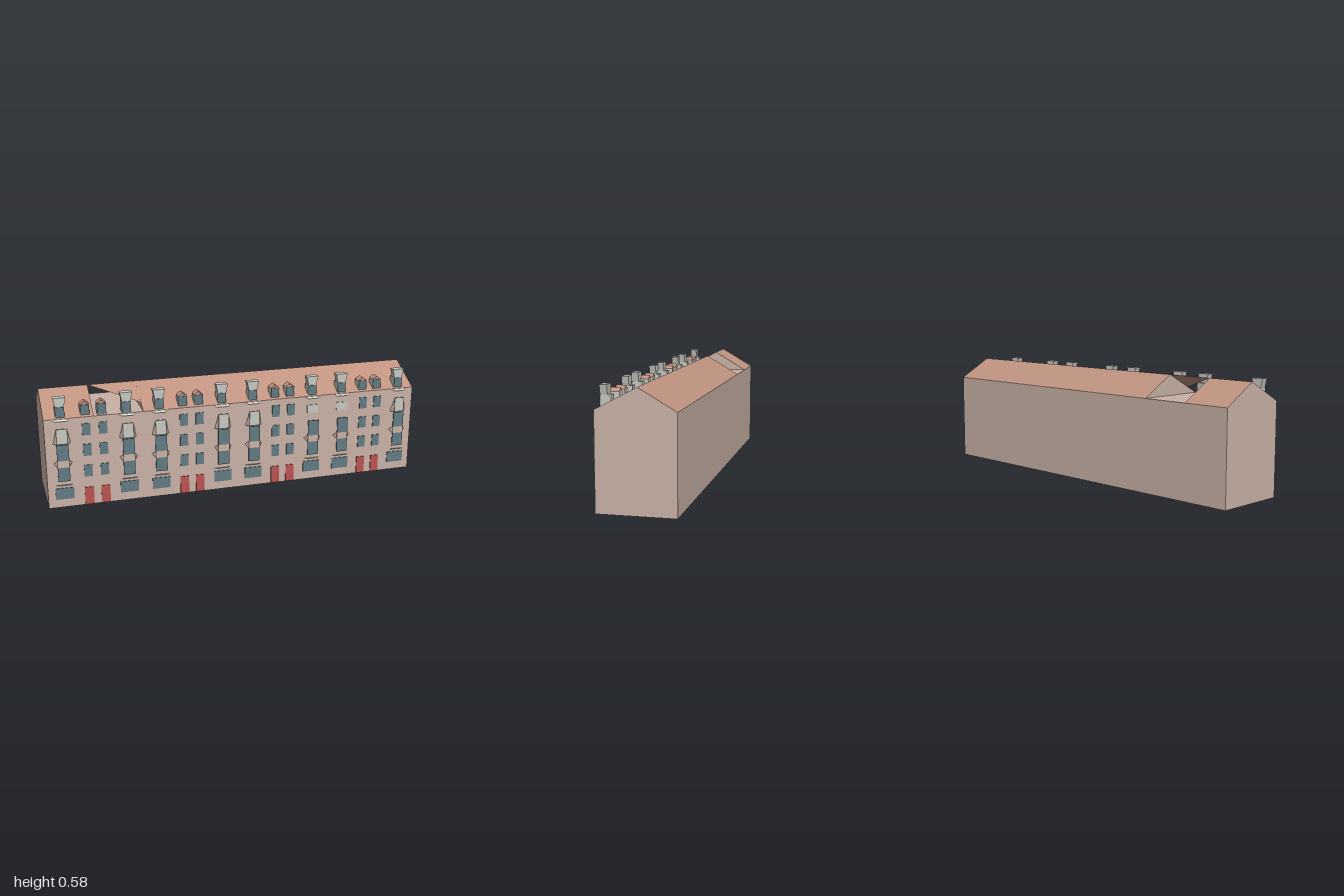
import * as THREE from 'three';

const mat = (name, color) => Object.assign(new THREE.MeshStandardMaterial({ color, side: THREE.DoubleSide }), { name });

export function createModel() {
  const root = new THREE.Group();
  root.name = 'terraceRow';
  const wall = mat('stone wall', 0xc9b2a6);
  const roof = mat('clay roof', 0xbf927f);
  const glass = mat('window glass', 0x627a82);
  const red = mat('red door', 0xbb5252);
  const trim = mat('pale trim', 0xc6c8c0);

  const FRONT = 0.18, BACK = -0.2, EAVE = 0.472, RIDGE = 0.577, RZ = -0.02;
  const BAY = 0.2; // front plane of the bays

  function add(parent, name, geo, material) {
    const m = new THREE.Mesh(geo, material);
    m.name = name;
    parent.add(m);
    return m;
  }
  // Box from its limits
  function box(parent, name, material, x0, x1, y0, y1, z0, z1) {
    const g = new THREE.BoxGeometry(x1 - x0, y1 - y0, z1 - z0);
    g.translate((x0 + x1) / 2, (y0 + y1) / 2, (z0 + z1) / 2);
    return add(parent, name, g, material);
  }
  // Flat convex polygon from corner points, counter-clockwise from outside
  function poly(parent, name, material, pts) {
    const g = new THREE.BufferGeometry();
    g.setAttribute('position', new THREE.Float32BufferAttribute(pts.flat(), 3));
    const index = [];
    for (let i = 1; i < pts.length - 1; i++) index.push(0, i, i + 1);
    g.setIndex(index);
    g.computeVertexNormals();
    return add(parent, name, g, material);
  }
  // Front outline extruded along z
  function prism(parent, name, material, pts, z0, z1) {
    const shape = new THREE.Shape(pts.map(p => new THREE.Vector2(...p)));
    const g = new THREE.ExtrudeGeometry(shape, { depth: z1 - z0, bevelEnabled: false });
    g.translate(0, 0, z0);
    return add(parent, name, g, material);
  }
  const pane = (parent, name, material, x, hw, y0, y1, z) =>
    box(parent, name, material, x - hw, x + hw, y0, y1, z - 0.002, z + 0.002);

  // Main body
  box(root, 'body', wall, -1, 1, 0, EAVE, BACK, FRONT);

  // Roof sections, with one open section between x -0.75 and -0.5
  for (const [a, b] of [[-1, -0.75], [-0.5, 1]]) {
    poly(root, 'frontRoof', roof, [[a, EAVE, FRONT], [b, EAVE, FRONT], [b, RIDGE, RZ], [a, RIDGE, RZ]]);
    poly(root, 'backRoof', roof, [[b, EAVE, BACK], [a, EAVE, BACK], [a, RIDGE, RZ], [b, RIDGE, RZ]]);
    poly(root, 'leftGable', wall, [[b, EAVE, FRONT], [b, EAVE, BACK], [b, RIDGE, RZ]]);
    poly(root, 'rightGable', wall, [[a, EAVE, BACK], [a, EAVE, FRONT], [a, RIDGE, RZ]]);
  }
  poly(root, 'brokenRoof', roof, [[-0.75, RIDGE, RZ], [-0.5, 0.503, 0.12], [-0.5, RIDGE, RZ]]);

  // Trapezoid ledge reaching from the wall to the bay front
  function ledge(parent, name, y, z, drop) {
    poly(parent, name, trim, [[-0.046, y - drop, FRONT], [-0.028, y, z], [0.028, y, z], [0.046, y - drop, FRONT]]);
  }

  // Bay window column
  function bay(x, short) {
    const g = new THREE.Group();
    g.name = 'bay';
    g.position.x = x;
    root.add(g);
    pane(g, 'groundWindow', glass, 0, 0.047, 0.045, 0.105, FRONT + 0.003);
    ledge(g, 'lowerLedge', 0.125, BAY, 0.004);
    pane(g, 'lowerBayWindow', glass, 0, 0.03, 0.148, 0.222, BAY);
    pane(g, 'upperBayWindow', glass, 0, 0.03, 0.258, 0.342, BAY);
    pane(g, 'spandrel', wall, 0, 0.03, 0.222, 0.258, BAY);
    ledge(g, 'spandrelTop', 0.26, BAY, 0.02);
    ledge(g, 'spandrelBottom', 0.222, BAY, -0.018);
    for (const s of [-1, 1]) {
      poly(g, 'spandrelCheek', wall, [[s * 0.03, 0.222, BAY], [s * 0.046, 0.24, FRONT], [s * 0.03, 0.26, BAY]]);
    }
    if (short) {
      pane(g, 'topPanel', trim, 0, 0.031, 0.38, 0.425, FRONT + 0.003);
    } else {
      pane(g, 'topPanel', trim, 0, 0.027, 0.347, 0.425, BAY);
      for (const s of [-1, 1]) {
        poly(g, 'topCheek', wall, [[s * 0.027, 0.345, BAY], [s * 0.043, 0.345, FRONT], [s * 0.027, 0.425, BAY]]);
      }
      ledge(g, 'topSoffit', 0.345, BAY, 0);
    }
    ledge(g, 'eaveLedge', 0.46, FRONT + 0.008, -0.01);

    // Large dormer with a flared cap
    box(g, 'dormerBody', trim, -0.023, 0.023, 0.472, 0.531, 0.118, 0.168);
    pane(g, 'dormerWindow', glass, 0, 0.022, 0.477, 0.529, 0.17);
    prism(g, 'dormerCap', trim, [[-0.022, 0.531], [0.022, 0.531], [0.032, RIDGE], [-0.032, RIDGE]], 0.135, 0.17);
  }

  // Door column
  function entrance(x) {
    const g = new THREE.Group();
    g.name = 'entranceColumn';
    g.position.x = x;
    root.add(g);
    pane(g, 'door', red, 0, 0.023, 0.002, 0.096, FRONT + 0.003);
    for (const y of [0.155, 0.267, 0.377]) pane(g, 'window', glass, 0, 0.021, y, y + 0.062, FRONT + 0.003);

    // Small dormer with a pitched roof
    box(g, 'smallDormer', trim, -0.023, 0.023, 0.472, 0.53, 0.118, 0.163);
    pane(g, 'smallDormerWindow', glass, 0, 0.022, 0.477, 0.529, 0.165);
    prism(g, 'smallDormerRoof', roof, [[-0.024, 0.53], [0.024, 0.53], [0, 0.547]], 0.118, 0.165);
  }

  // Four repeated houses
  for (const c of [-0.75, -0.25, 0.25, 0.75]) {
    for (const s of [-1, 1]) {
      const x = c + s * 0.166;
      bay(x, x > 0.3 && x < 0.7);
      entrance(c + s * 0.042);
    }
  }
  return root;
}
